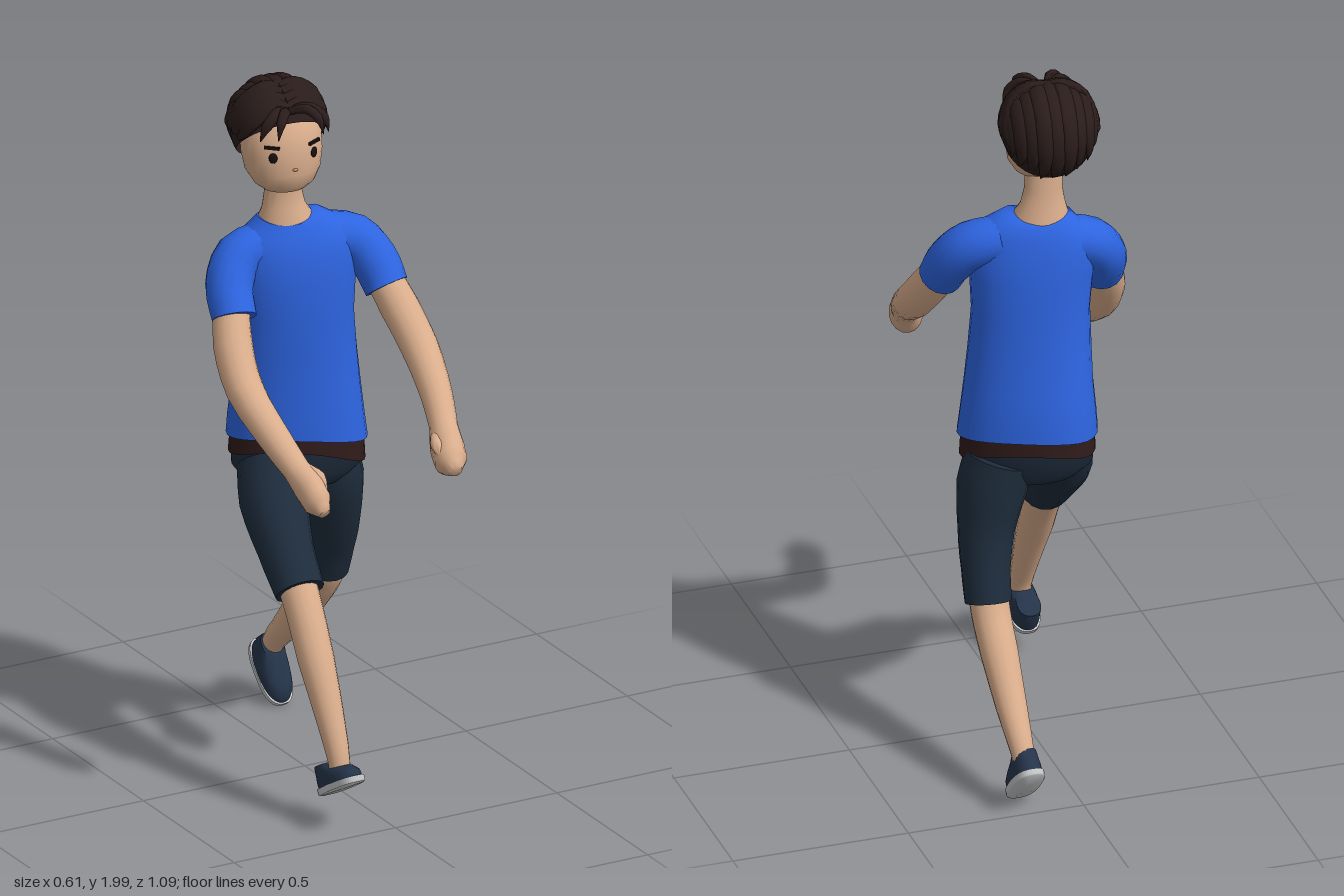
import * as THREE from 'three';
import { toCreasedNormals } from 'three/addons/utils/BufferGeometryUtils.js';

const V = (x, y, z) => new THREE.Vector3(x, y, z);
const mat = (name, color, side = THREE.FrontSide) => {
  const m = new THREE.MeshStandardMaterial({ color, side });
  m.name = name;
  return m;
};

// Closed skin over a list of point rings, with a fan on each end.
function skin(rings, centers) {
  const n = rings[0].length, pos = [], idx = [];
  rings.forEach(r => r.forEach(p => pos.push(p.x, p.y, p.z)));
  const last = rings.length - 1, c0 = rings.length * n;
  [centers[0], centers[last]].forEach(p => pos.push(p.x, p.y, p.z));
  for (let j = 0; j < n; j++) {
    const k = (j + 1) % n;
    for (let i = 0; i < last; i++) {
      const a = i * n + j, b = i * n + k;
      idx.push(a, b, b + n, a, b + n, a + n);
    }
    idx.push(c0, k, j, c0 + 1, last * n + j, last * n + k);
  }
  const g = new THREE.BufferGeometry();
  g.setAttribute('position', new THREE.Float32BufferAttribute(pos, 3));
  g.setIndex(idx);
  return toCreasedNormals(g, 1.0);
}

// Elliptical ring; e below 1 makes it boxier.
function ring(c, u, v, a, b, n, e = 1) {
  const f = t => Math.sign(t) * Math.abs(t) ** e;
  return Array.from({ length: n }, (_, j) => {
    const t = j / n * Math.PI * 2;
    return c.clone().addScaledVector(u, a * f(Math.cos(t))).addScaledVector(v, b * f(Math.sin(t)));
  });
}

// Rows going upward: [x, y, z, halfWidth, halfDepth, yaw, slopeX, sag at both sides].
function loft(rows, e = 1, n = 28) {
  const centers = rows.map(r => V(r[0], r[1], r[2]));
  return skin(rows.map(([, , , a, b, yaw = 0, sx = 0, sag = 0], i) => {
    const u = V(Math.cos(yaw), 0, -Math.sin(yaw));
    const pts = ring(centers[i], u, V(0, 1, 0).cross(u), a, b, n, e);
    pts.forEach((p, j) => { p.y += sx * (p.x - centers[i].x) - sag * Math.cos(j / n * Math.PI * 2) ** 2; });
    return pts;
  }), centers);
}

// Rows along a curve: [x, y, z, radiusA, radiusB]; ref gives the A axis.
function limb(rows, ref = () => V(1, 0, 0), n = 16, sub = 3) {
  const curve = new THREE.CatmullRomCurve3(rows.map(r => V(r[0], r[1], r[2])));
  const steps = (rows.length - 1) * sub, rings = [], centers = [];
  for (let i = 0; i <= steps; i++) {
    const c = curve.getPoint(i / steps), t = curve.getTangent(i / steps);
    const k = Math.min(Math.floor(i / sub), rows.length - 2), f = i / sub - k;
    const rad = m => THREE.MathUtils.lerp(rows[k][m] ?? rows[k][3], rows[k + 1][m] ?? rows[k + 1][3], f);
    const u = ref(c);
    u.addScaledVector(t, -u.dot(t)).normalize();
    rings.push(ring(c, u, t.clone().cross(u), rad(3), rad(4), n));
    centers.push(c);
  }
  return skin(rings, centers);
}

export function createModel() {
  const M = {
    skin: mat('skin', 0xd9ad8c), shirt: mat('blue shirt', 0x2d64e0),
    shorts: mat('navy shorts', 0x1e2c3c), belt: mat('brown waistband', 0x2f1b1a),
    hair: mat('dark brown hair', 0x2a1c1b, THREE.DoubleSide), shoe: mat('navy shoe', 0x25344a),
    sole: mat('grey sole', 0xc8cacb), eye: mat('black eye', 0x17110f), nose: mat('nose tip', 0xc58a72),
  };
  const model = new THREE.Group();
  const add = (name, geo, m, parent = model) => {
    const mesh = new THREE.Mesh(geo, m);
    mesh.name = name;
    parent.add(mesh);
    return mesh;
  };

  // Shirt, turned with the left side forward
  add('shirt', loft([
    [.02, .975, -.08, .192, .132, -.48, -.04, .025], [.018, 1.02, -.08, .186, .13, -.47, -.03, .01],
    [.015, 1.1, -.076, .176, .121, -.44], [.01, 1.2, -.07, .168, .11, -.38],
    [.005, 1.32, -.063, .161, .106, -.3], [.002, 1.42, -.06, .168, .101, -.26],
    [0, 1.5, -.06, .172, .092, -.26], [0, 1.545, -.06, .165, .079, -.26],
    [0, 1.578, -.063, .132, .066, -.26, .03], [-.015, 1.592, -.064, .088, .056, -.24, .05, -.02]], .9), M.shirt);
  const zRef = () => V(0, 0, 1);
  add('leftSleeve', limb([[.08, 1.53, -.05, .067], [.164, 1.51, -.025, .068],
    [.207, 1.452, .015, .066], [.22, 1.387, .06, .061]], zRef), M.shirt);
  add('rightSleeve', limb([[-.075, 1.523, -.08, .065], [-.155, 1.5, -.085, .068],
    [-.203, 1.437, -.055, .066], [-.217, 1.362, -.002, .062]], zRef), M.shirt);

  // Bare arms ending in loose fists
  add('leftArm', limb([[.205, 1.45, .02, .048], [.237, 1.34, .1, .054], [.25, 1.25, .19, .052],
    [.228, 1.165, .32, .044], [.205, 1.105, .4, .039], [.188, 1.065, .45, .046, .054],
    [.172, 1.045, .5, .045, .05], [.165, 1.032, .54, .018]]), M.skin);
  add('leftThumb', limb([[.165, 1.09, .43, .016], [.145, 1.085, .47, .017], [.145, 1.06, .505, .008]]), M.skin);
  add('rightArm', limb([[-.205, 1.42, -.04, .048], [-.242, 1.3, .035, .054], [-.252, 1.2, .12, .052],
    [-.237, 1.1, .27, .044], [-.222, 1.045, .35, .038], [-.213, 1.01, .4, .04, .05],
    [-.208, .98, .44, .038, .046], [-.205, .958, .475, .016]]), M.skin);
  add('rightThumb', limb([[-.2, 1.05, .37, .016], [-.182, 1.035, .405, .017], [-.182, 1.0, .435, .008]]), M.skin);

  // Waistband and shorts
  add('waistband', loft([[.02, .935, -.08, .186, .127, -.48, -.08, .045], [.02, .985, -.08, .18, .123, -.48]], .9), M.belt);
  add('shortsSeat', loft([[.01, .8, -.07, .06, .05], [.012, .825, -.075, .135, .095, -.2],
    [.018, .87, -.08, .176, .12, -.4], [.02, .95, -.08, .178, .121, -.48]], .95), M.shorts);
  add('leftShortsLeg', limb([[.1, .885, -.085, .094, .11], [.125, .8, -.092, .096, .104], [.148, .68, -.112, .077, .083],
    [.16, .58, -.145, .067, .07], [.163, .495, -.175, .064, .064]]), M.shorts);
  add('rightShortsLeg', limb([[-.065, .88, -.065, .095, .098], [-.095, .8, 0, .094, .096], [-.115, .7, .1, .076, .08],
    [-.122, .612, .19, .069, .066]]), M.shorts);

  // Lower legs
  add('leftLowerLeg', limb([[.158, .56, -.145, .055], [.16, .47, -.185, .054], [.16, .38, -.26, .052],
    [.16, .27, -.36, .043], [.16, .175, -.455, .032], [.158, .13, -.475, .03]]), M.skin);
  add('rightLowerLeg', limb([[-.122, .65, .16, .054], [-.125, .56, .225, .052], [-.13, .45, .295, .05],
    [-.13, .33, .36, .041], [-.13, .2, .42, .03], [-.13, .15, .425, .03]]), M.skin);

  // Shoes
  const shoe = (name, x, y, z, tilt) => {
    const g = new THREE.Group();
    g.name = name;
    add('sole', loft([[0, -.014, 0, .043, .096], [0, -.01, 0, .046, .1], [0, .004, 0, .046, .101]], .75), M.sole, g);
    add('shoeUpper', loft([[0, .003, 0, .044, .097], [0, .022, -.003, .044, .094], [0, .039, -.018, .04, .077],
      [0, .053, -.04, .036, .052], [0, .065, -.05, .033, .04]], .87), M.shoe, g);
    g.position.set(x, y, z);
    g.rotation.x = tilt;
    model.add(g);
  };
  shoe('leftShoe', .155, .086, -.462, .8);
  shoe('rightShoe', -.13, .138, .43, -.54);

  // Neck, rising from the open collar
  add('neck', loft([[-.02, 1.565, -.066, .08, .06, -.24], [-.022, 1.6, -.067, .078, .056, -.2],
    [-.028, 1.635, -.067, .062, .046], [-.03, 1.68, -.067, .053, .042], [-.035, 1.76, -.06, .053, .045]]), M.skin);

  // Head and face
  const head = new THREE.Group();
  head.name = 'head';
  head.position.set(-.043, 1.83, -.06);
  head.rotation.y = -.12;
  model.add(head);
  add('face', loft([[0, -.131, .035, .025, .022], [0, -.124, .033, .06, .05], [0, -.105, .028, .085, .073],
    [0, -.07, .018, .105, .09], [0, -.02, .01, .113, .1], [0, .04, .001, .113, .1], [0, .09, -.01, .095, .08],
    [0, .125, -.02, .055, .055]]), M.skin, head);
  const ball = new THREE.SphereGeometry(1, 14, 10);
  for (const s of [1, -1]) {
    const eye = add('eye', ball, M.eye, head);
    eye.scale.set(.012, .015, .005);
    eye.position.set(s * .06, -.012, .096);
    eye.rotation.y = s * .5;
    const brow = add('eyebrow', new THREE.BoxGeometry(.042, .008, .007), M.eye, head);
    brow.position.set(s * .062, .017, .093);
    brow.rotation.set(0, s * .5, s * .06);
  }
  const nose = add('nose', ball, M.nose, head);
  nose.scale.set(.008, .005, .008);
  nose.position.set(0, -.05, .106);

  // Hair shell, open toward the face
  const C = V(0, .03, -.028), R = V(.127, .129, .126);
  const cap = new THREE.SphereGeometry(1, 28, 14, 0, Math.PI * 2, 0, 1.88);
  cap.rotateX(-.7).scale(R.x, R.y, R.z).translate(C.x, C.y, C.z);
  add('hairShell', cap, M.hair, head);
  const outward = p => p.clone().sub(C).normalize();
  const onHair = (x, y, z, k = 1) => V(x, y, z).normalize().multiply(R).multiplyScalar(k).add(C).toArray();
  const lock = (name, pts, thick, wide) => add(name, limb(pts.map((p, i) => {
    const t = i / (pts.length - 1), w = Math.sqrt(Math.max(.02, 1 - t ** 4)) * (.55 + .45 * Math.sin(Math.PI * t));
    return [...p, thick * w, wide * w];
  }), outward, 10), M.hair, head);

  // Locks combed from front to nape
  for (let i = -4; i <= 4; i++) {
    const b = i * .27, from = .8, to = 4.35 - Math.abs(b) * .42, pts = [];
    for (let k = 0; k <= 6; k++) {
      const a = from + (to - from) * k / 6;
      pts.push(onHair(Math.sin(b), Math.cos(b) * Math.sin(a), Math.cos(b) * Math.cos(a), 1 + (i & 1) * .025));
    }
    lock('backLock', pts, .013, .027);
  }
  // Parted fringe sweeping over each temple, and loose forward tufts
  for (const s of [1, -1]) {
    for (let j = 0; j < 4; j++) {
      const d = j * .16, low = s > 0 ? -.6 : -.12;
      lock('fringeLock', [onHair(-.05, .66 + d, .76 - d, 1.02), onHair(s * .35, .74 + d * .5, .68 - d, 1.08),
        onHair(s * .72, .5 + d * .3, .62 - d, 1.08), onHair(s * .95, .15, .45 - d * 1.6, 1.04),
        onHair(s, low + d * .5, .2 - d * 1.8, 1.0)], .013, .028);
    }
    lock('frontTuft', [[-.01, .105, .07], [s * .03, .125, .11], [s * .055, .105, .142], [s * .066, .06, .15]], .012, .016);
    lock('frontTuft', [[-.01, .11, .06], [s * .05, .12, .1], [s * .085, .09, .112], [s * .1, .045, .102]], .012, .018);
  }
  return model;
}
